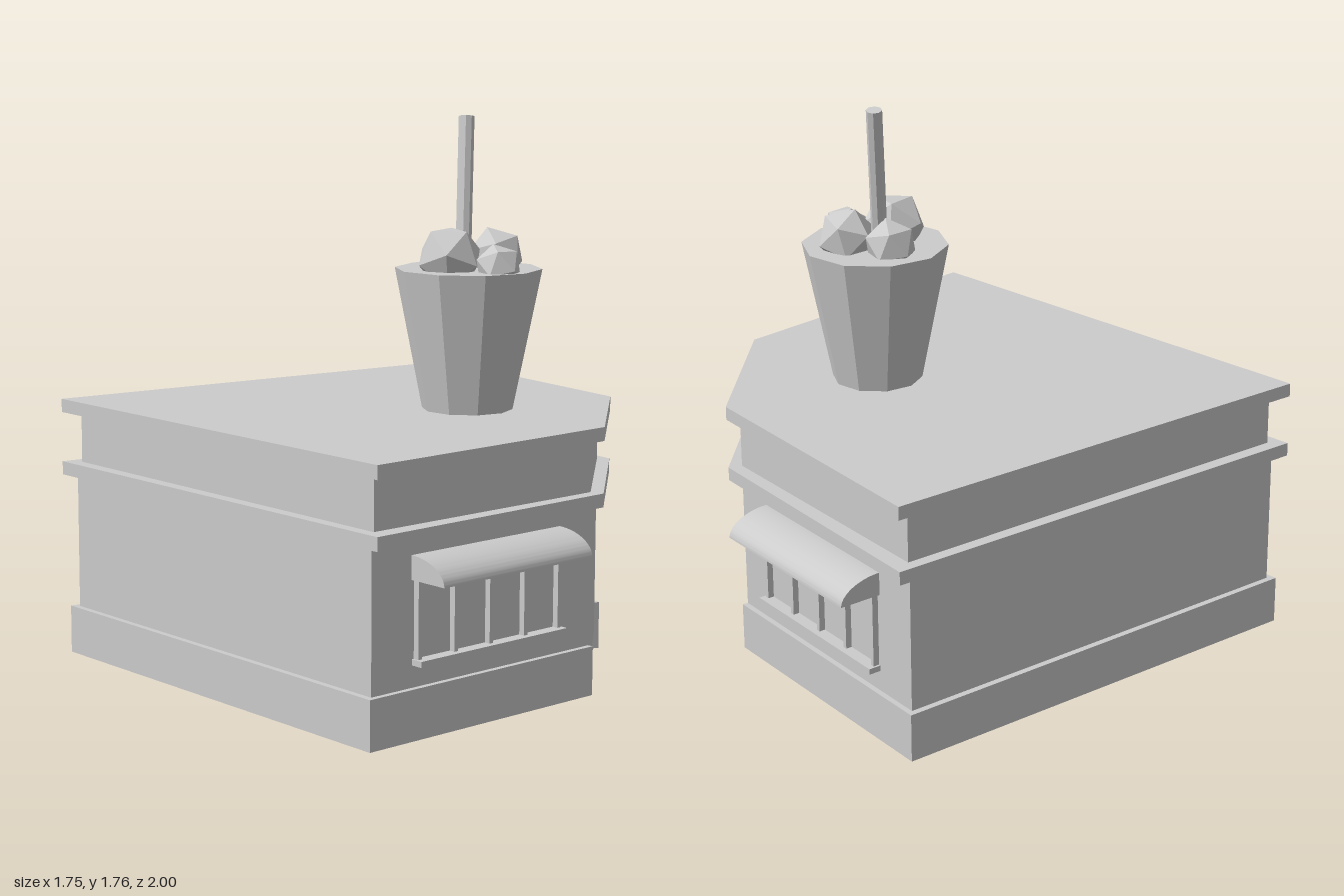
import * as THREE from 'three';
import { toCreasedNormals } from 'three/addons/utils/BufferGeometryUtils.js';

const material = new THREE.MeshStandardMaterial({ color: 0xcccccc });
const faceted = new THREE.MeshStandardMaterial({ color: 0xcccccc, flatShading: true });

function add(parent, name, geometry, mat = material) {
  const mesh = new THREE.Mesh(geometry, mat);
  mesh.name = name;
  parent.add(mesh);
  return mesh;
}

// Horizontal slab from an (x, z) outline between two heights
function slab(points, y0, y1) {
  const shape = new THREE.Shape(points.map(([x, z]) => new THREE.Vector2(x, -z)));
  const geometry = new THREE.ExtrudeGeometry(shape, { depth: y1 - y0, bevelEnabled: false });
  return geometry.rotateX(-Math.PI / 2).translate(0, y0, 0);
}

// Half outline (rear point, wide corner, front corner) mirrored across z = 0
function outline(rear, [cx, cz], [fx, fz]) {
  return [[fx, fz], [cx, cz], [rear, 0], [cx, -cz], [fx, -fz]];
}

// Window with sill, mullions and rounded awning; x along the wall, z outward
function createWindow() {
  const group = new THREE.Group();
  const length = 0.606, depth = 0.137, bottom = 0.475, rise = 0.073;

  const profile = new THREE.Shape();
  profile.moveTo(-0.01, bottom);
  profile.lineTo(depth, bottom);
  profile.absellipse(0, bottom, depth, rise, 0, Math.PI / 2, false);
  profile.lineTo(-0.01, bottom + rise);
  const awning = new THREE.ExtrudeGeometry(profile, { depth: length, bevelEnabled: false, curveSegments: 12 });
  awning.rotateY(-Math.PI / 2).translate(length / 2, 0, 0);
  add(group, 'awning', toCreasedNormals(awning, 0.6));

  add(group, 'windowSill', new THREE.BoxGeometry(0.6, 0.018, 0.05).translate(0, 0.231, 0.015));
  for (let i = 0; i < 5; i++) {
    const x = (i - 2) * 0.143;
    add(group, 'mullion', new THREE.BoxGeometry(0.014, 0.24, 0.03).translate(x, 0.357, 0.005));
  }
  return group;
}

export function createModel() {
  const model = new THREE.Group();
  model.name = 'milkshakeShop';

  // Building: stacked slabs sharing one five-sided plan
  const wall = outline(-0.83, [0.245, 0.945], [0.835, 0.275]);
  const upper = outline(-0.815, [0.25, 0.935], [0.835, 0.275]);
  const rim = outline(-0.88, [0.268, 1.0], [0.875, 0.292]);
  add(model, 'walls', slab(wall, 0.06, 0.6));
  add(model, 'ledge', slab(rim, 0.592, 0.635));
  add(model, 'upperWalls', slab(upper, 0.63, 0.8));
  add(model, 'roof', slab(rim, 0.797, 0.84));

  // Plinth band, open along the front corner face
  const outer = outline(-0.86, [0.245, 0.972], [0.85, 0.285]);
  const inner = outline(-0.82, [0.243, 0.93], [0.825, 0.27]);
  add(model, 'plinth', slab([...outer, ...inner.reverse()], 0, 0.155));

  // A window on each angled wall
  for (const side of [1, -1]) {
    const bay = createWindow();
    bay.name = side > 0 ? 'frontWindow' : 'backWindow';
    const angle = Math.atan2(0.67, 0.59);
    bay.rotation.y = side > 0 ? angle : Math.PI - angle;
    bay.position.set(0.547, 0, side * 0.602);
    model.add(bay);
  }

  // Ten-sided cup on the roof
  const cup = add(model, 'cup', new THREE.CylinderGeometry(0.232, 0.143, 0.447, 10), faceted);
  cup.rotation.y = Math.PI / 2;
  cup.position.set(0.433, 1.0615, 0);

  // Scoops: x, y, z, radius
  const scoops = [
    [0.38, 1.325, 0.07, 0.106],
    [0.515, 1.32, -0.045, 0.094],
    [0.375, 1.31, -0.085, 0.085],
    [0.535, 1.3, 0.105, 0.075],
  ];
  scoops.forEach(([x, y, z, r], i) => {
    const scoop = add(model, 'scoop', new THREE.IcosahedronGeometry(r, 0), faceted);
    scoop.position.set(x, y, z);
    scoop.rotation.set(0.4 + i * 0.9, i * 1.3, 0.3 * i);
  });

  // Straw leaning to the back
  const foot = new THREE.Vector3(0.413, 1.2, -0.025);
  const tip = new THREE.Vector3(0.413, 1.752, -0.128);
  const lean = tip.clone().sub(foot);
  const straw = add(model, 'straw', new THREE.CylinderGeometry(0.025, 0.025, lean.length(), 8), faceted);
  straw.position.copy(foot).add(tip).multiplyScalar(0.5);
  straw.quaternion.setFromUnitVectors(new THREE.Vector3(0, 1, 0), lean.normalize());

  return model;
}
